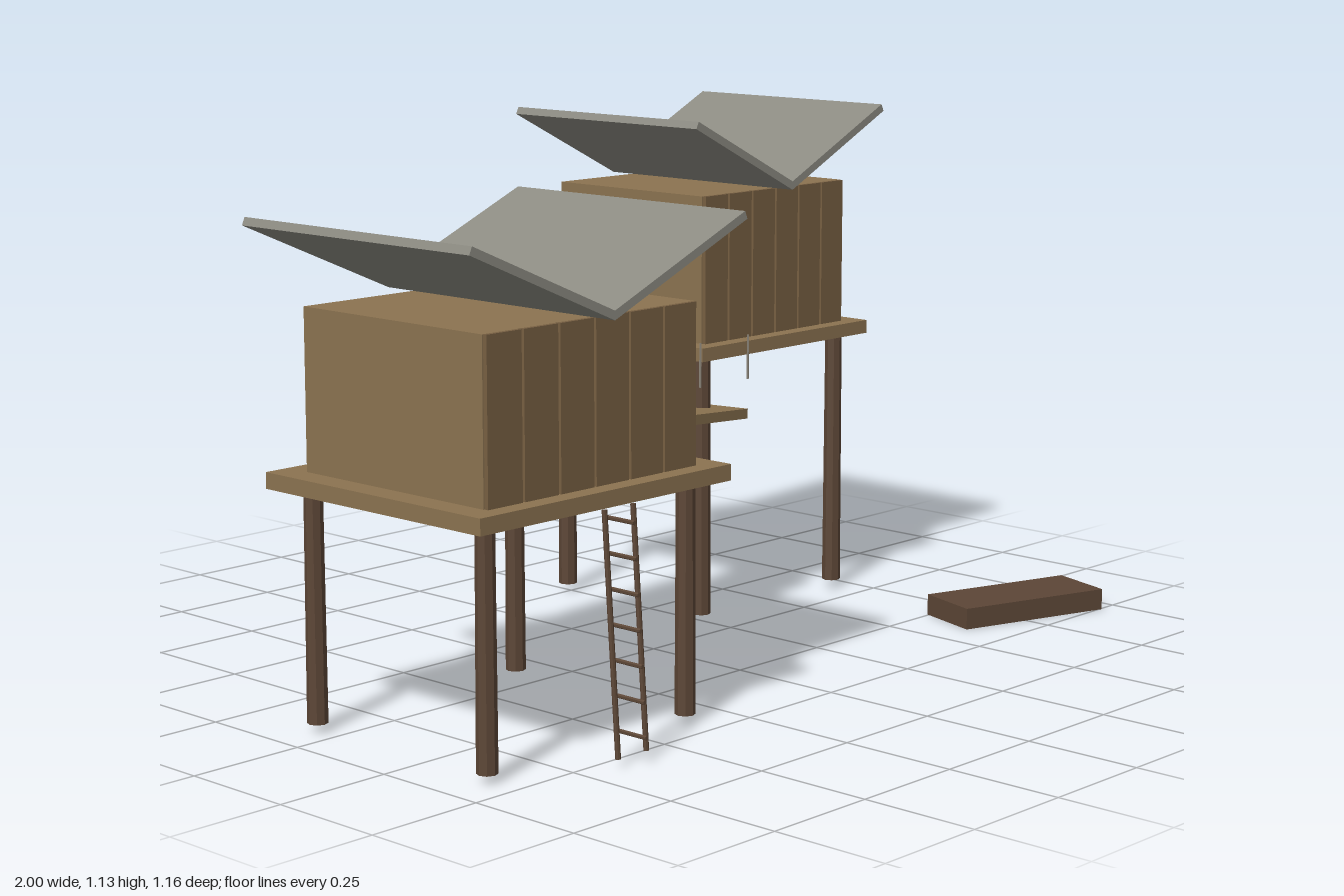
import * as THREE from 'three';

const mat = (color) => new THREE.MeshStandardMaterial({ color, flatShading: true });
const WALL = mat(0x8b7350);
const PLANK = mat(0x775f42);
const LOG = mat(0x5c4636);
const ROOF = mat(0x8c8b82);
const ROPE = mat(0x8a8478);

function add(parent, name, geometry, material, x, y, z) {
  const mesh = new THREE.Mesh(geometry, material);
  mesh.name = name;
  mesh.position.set(x, y, z);
  parent.add(mesh);
  return mesh;
}

// Box given by its [min, max] extents on each axis
function box(parent, name, material, [x0, x1], [y0, y1], [z0, z1]) {
  return add(parent, name, new THREE.BoxGeometry(x1 - x0, y1 - y0, z1 - z0), material,
    (x0 + x1) / 2, (y0 + y1) / 2, (z0 + z1) / 2);
}

// Round bar between two points
function bar(parent, name, material, from, to, rTop, rBottom = rTop, sides = 8) {
  const a = new THREE.Vector3(...from), b = new THREE.Vector3(...to);
  const dir = b.clone().sub(a);
  const mesh = add(parent, name, new THREE.CylinderGeometry(rTop, rBottom, dir.length(), sides), material,
    ...a.clone().add(b).multiplyScalar(0.5).toArray());
  mesh.quaternion.setFromUnitVectors(new THREE.Vector3(0, 1, 0), dir.normalize());
  return mesh;
}

// Hut on stilts: platform, four posts, walls, plank front and V-shaped roof
function hut(name, p) {
  const g = new THREE.Group();
  g.name = name;
  box(g, 'platform', WALL, [p.x - p.deckW / 2, p.x + p.deckW / 2], p.deckY, p.deckZ);
  for (const s of [-1, 1]) {
    for (const z of p.postZ) {
      const x = p.x + s * p.postX;
      bar(g, 'post', LOG, [x, 0.02, z], [x, p.deckY[0], z], 0.019, 0.021);
    }
  }
  const [z0, z1] = p.wallZ;
  box(g, 'walls', WALL, [p.x - p.wallW / 2, p.x + p.wallW / 2], [p.deckY[1], p.wallTop], [z0, z1]);

  // Front cladding with narrow gaps
  const step = p.wallW / 6, gap = 0.003;
  for (let i = 0; i < 6; i++) {
    const x = p.x - p.wallW / 2 + i * step;
    box(g, 'frontPlank', PLANK, [x + gap, x + step - gap], [p.deckY[1], p.wallTop], [z1, z1 + 0.009]);
  }

  // Roof panels rise outward from a central valley
  const angle = Math.atan2(p.roofRise, p.roofHalf);
  const length = Math.hypot(p.roofRise, p.roofHalf), thick = 0.017;
  for (const s of [-1, 1]) {
    const panel = add(g, 'roofPanel', new THREE.BoxGeometry(length, thick, p.roofZ[1] - p.roofZ[0]), ROOF,
      p.x + s * (p.roofHalf / 2 - Math.sin(angle) * thick / 2),
      p.wallTop + p.roofRise / 2 + Math.cos(angle) * thick / 2,
      (p.roofZ[0] + p.roofZ[1]) / 2);
    panel.rotation.z = s * angle;
  }
  return g;
}

export function createModel() {
  const model = new THREE.Group();
  model.name = 'stiltHuts';

  model.add(hut('lowerHut', {
    x: -0.631, deckW: 0.674, deckY: [0.49, 0.523], deckZ: [-0.115, 0.485],
    postX: 0.27, postZ: [-0.055, 0.426],
    wallW: 0.564, wallZ: [-0.058, 0.436], wallTop: 0.846,
    roofHalf: 0.368, roofRise: 0.157, roofZ: [-0.131, 0.497],
  }));
  model.add(hut('upperHut', {
    x: 0.476, deckW: 0.562, deckY: [0.603, 0.633], deckZ: [-0.562, -0.037],
    postX: 0.226, postZ: [-0.51, -0.09],
    wallW: 0.471, wallZ: [-0.516, -0.082], wallTop: 0.959,
    roofHalf: 0.317, roofRise: 0.156, roofZ: [-0.578, -0.024],
  }));

  // Sloping walkway between the huts
  const run = new THREE.Vector3(0.684, -0.068, -0.141);
  const bridge = add(model, 'bridgeDeck', new THREE.BoxGeometry(run.length(), 0.022, 0.213), WALL,
    -0.028, 0.505, -0.0635);
  bridge.rotation.set(0, Math.atan2(-run.z, run.x), Math.atan2(run.y, Math.hypot(run.x, run.z)), 'YZX');

  // Handrail with its end posts, and a row of slim stakes
  const railEnds = [[-0.38, 0.037], [0.286, -0.17]];
  bar(model, 'handrail', LOG, [-0.38, 0.66, 0.037], [0.286, 0.66, -0.17], 0.006);
  for (const [x, z] of railEnds) bar(model, 'railPost', LOG, [x, 0.555, z], [x, 0.66, z], 0.007);
  for (let i = 0; i < 4; i++) {
    const x = -0.295 + i * 0.15;
    bar(model, 'stake', ROPE, [x, 0.592, 0.13], [x, 0.687, 0.13], 0.0025, 0.0025, 6);
  }

  // Leaning ladder
  const ladder = new THREE.Group();
  ladder.name = 'ladder';
  for (const x of [-0.671, -0.594]) {
    bar(ladder, 'ladderRail', LOG, [x, 0.02, 0.541], [x, 0.495, 0.507], 0.0055);
  }
  for (let i = 0; i < 7; i++) {
    const y = 0.06 + i * 0.0683, z = 0.539 - i * 0.0051;
    bar(ladder, 'rung', LOG, [-0.632, y, z - 0.039], [-0.632, y, z + 0.039], 0.0045, 0.0045, 6);
  }
  model.add(ladder);

  // Low raft on the ground
  const raft = add(model, 'raft', new THREE.BoxGeometry(0.373, 0.047, 0.153), LOG, 0.796, 0.0265, 0.375);
  raft.rotation.y = -0.305;

  return model;
}
